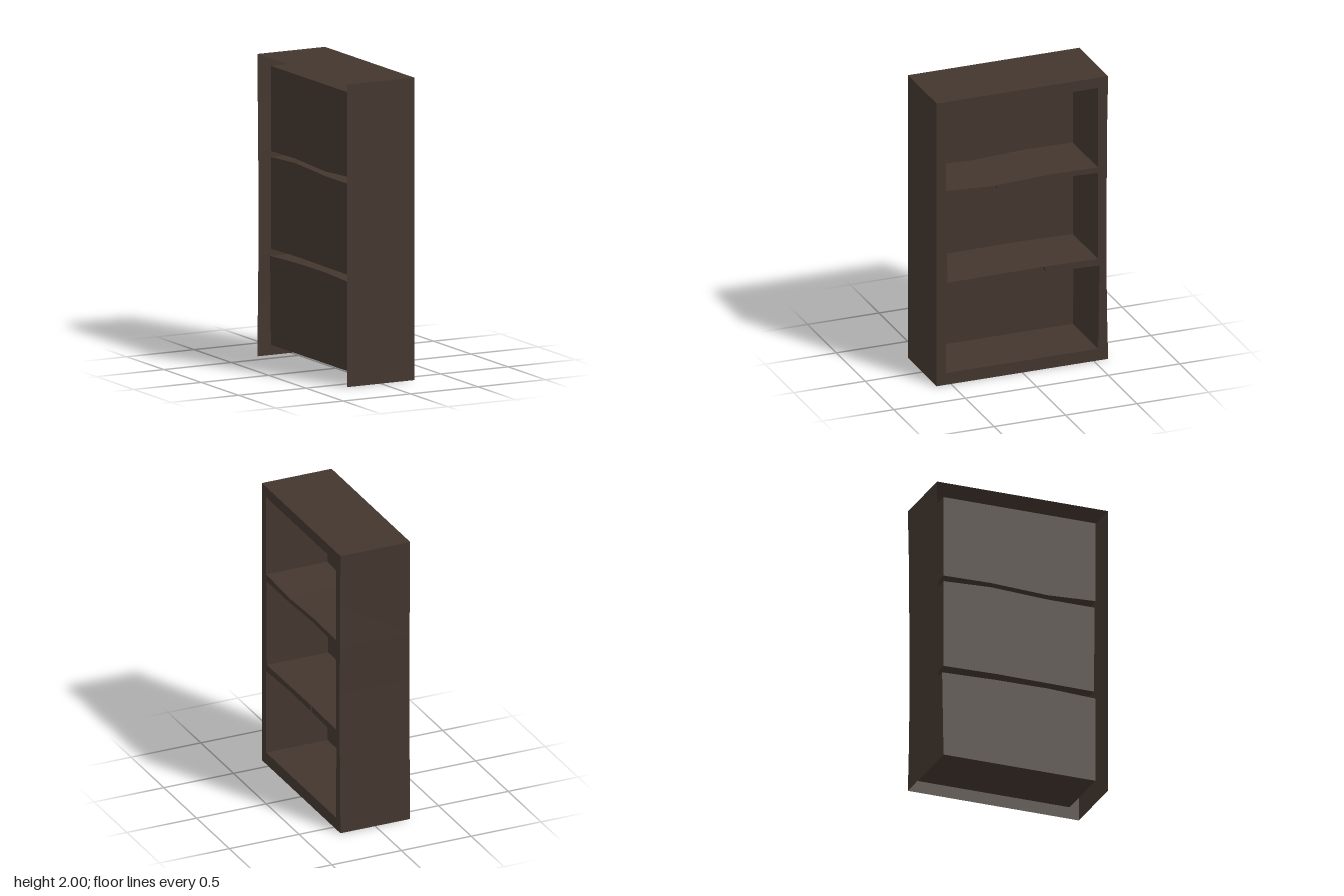
import * as THREE from 'three';

// Profiles are [u, y] points on the open face, where u runs along -z.
const FRONT = 0.25, REAR = -0.25, CAVITY_REAR = -0.19;

const wood = new THREE.MeshStandardMaterial({ color: 0x43362e, side: THREE.DoubleSide });
wood.name = 'darkWood';

// Flat panel facing +x, with optional holes
function panel(outline, x, holes = []) {
  const toVec = ([u, y]) => new THREE.Vector2(u, y);
  const shape = new THREE.Shape(outline.map(toVec));
  for (const h of holes) shape.holes.push(new THREE.Path(h.map(toVec)));
  return new THREE.ShapeGeometry(shape).rotateY(Math.PI / 2).translate(x, 0, 0);
}

// Faceted walls joining a front profile to a rear profile
function walls(front, rear, x0, x1, closed) {
  const pos = [];
  const n = front.length;
  for (let i = 0; i < (closed ? n : n - 1); i++) {
    const j = (i + 1) % n;
    const a = [x0, front[i][1], -front[i][0]], b = [x0, front[j][1], -front[j][0]];
    const c = [x1, rear[j][1], -rear[j][0]], d = [x1, rear[i][1], -rear[i][0]];
    pos.push(...a, ...b, ...c, ...a, ...c, ...d);
  }
  const g = new THREE.BufferGeometry();
  g.setAttribute('position', new THREE.Float32BufferAttribute(pos, 3));
  g.computeVertexNormals();
  return g;
}

export function createModel() {
  const group = new THREE.Group();
  group.name = 'bookcase';
  const add = (name, geometry) => {
    const mesh = new THREE.Mesh(geometry, wood);
    mesh.name = name;
    group.add(mesh);
  };

  // Outer outline; one side is slightly worn
  const heights = [0, 0.3, 0.67, 1, 1.33, 1.65, 2];
  const edge = (us) => [[-0.6, 2], [-0.6, 0], ...heights.map((y, i) => [us[i], y])];
  const frontEdge = edge([0.6, 0.593, 0.588, 0.587, 0.591, 0.593, 0.6]);
  const rearEdge = edge([0.6, 0.597, 0.588, 0.587, 0.591, 0.597, 0.6]);

  // Three compartments separated by sagging shelves
  const compartments = {
    lower: [[-0.535, 0.083], [0.53, 0.083], [0.54, 0.67], [0.17, 0.682], [-0.2, 0.685], [-0.535, 0.672]],
    middle: [[-0.525, 0.72], [0.15, 0.725], [0.53, 0.718], [0.53, 1.325], [0.2, 1.34], [-0.2, 1.322], [-0.53, 1.322]],
    upper: [[-0.535, 1.37], [-0.2, 1.353], [0.2, 1.37], [0.53, 1.365], [0.53, 1.927], [-0.535, 1.927]],
  };

  // Small cracks in the shelf edges
  const cracks = {
    upperShelf: [[-0.183, 1.325], [-0.177, 1.325], [-0.177, 1.352], [-0.183, 1.352]],
    lowerShelf: [[0.152, 0.686], [0.164, 0.686], [0.156, 0.721], [0.144, 0.721]],
  };

  add('frontFrame', panel(frontEdge, FRONT, [...Object.values(compartments), ...Object.values(cracks)]));

  // Thin sides and top, open at the rear and underneath
  const fromSide = (e) => [e[1], e[0], ...e.slice(2).reverse()];
  add('outerCase', walls(fromSide(frontEdge), fromSide(rearEdge), FRONT, REAR, false));

  for (const [name, outline] of Object.entries(compartments)) {
    add(name + 'CompartmentWalls', walls(outline, outline, FRONT, CAVITY_REAR, true));
    add(name + 'BackPanel', panel(outline, CAVITY_REAR));
  }
  for (const [name, outline] of Object.entries(cracks)) {
    add(name + 'CrackWalls', walls(outline, outline, FRONT, 0.22, true));
    add(name + 'CrackEnd', panel(outline, 0.22));
  }
  return group;
}
